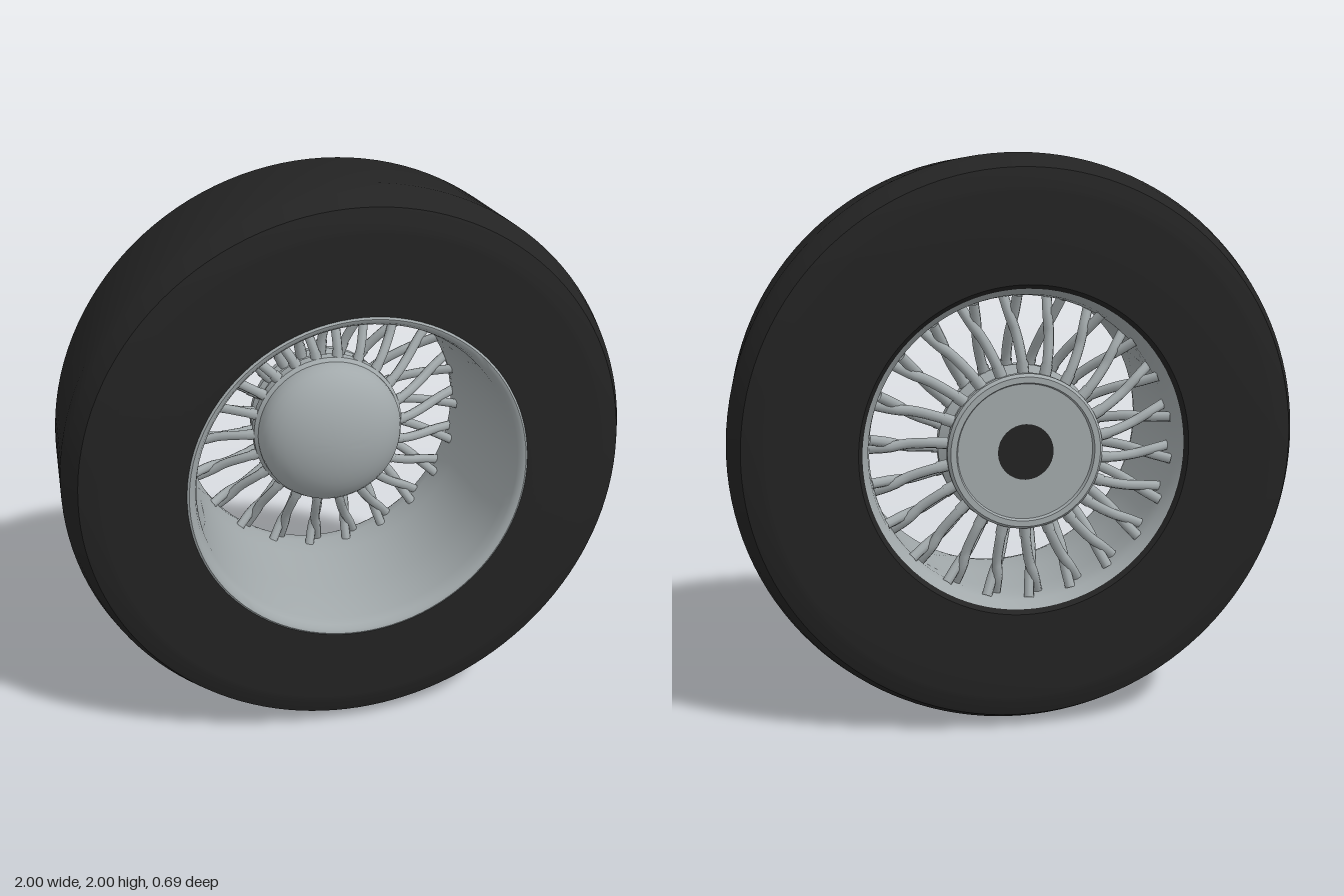
import * as THREE from 'three';
import { mergeGeometries, toCreasedNormals } from 'three/addons/utils/BufferGeometryUtils.js';

const rubber = new THREE.MeshStandardMaterial({ color: 0x232323 });
rubber.name = 'black rubber';
const metal = new THREE.MeshStandardMaterial({ color: 0xa2a9ab, side: THREE.DoubleSide });
metal.name = 'grey metal';

// Spin a [radius, z] profile round the axle (z axis)
function spin(profile, segments = 96, crease = 0.5) {
  const points = profile.map(([r, z]) => new THREE.Vector2(r, z));
  return toCreasedNormals(new THREE.LatheGeometry(points, segments).rotateX(Math.PI / 2), crease);
}

function polar(r, degrees, z) {
  const a = THREE.MathUtils.degToRad(degrees);
  return new THREE.Vector3(r * Math.sin(a), r * Math.cos(a), z);
}

export function createModel() {
  const wheel = new THREE.Group();
  wheel.name = 'wheel';
  wheel.position.y = 1;
  const add = (name, geometry, material) => {
    const mesh = new THREE.Mesh(geometry, material);
    mesh.name = name;
    wheel.add(mesh);
    return mesh;
  };

  // Tyre: closed cross-section with rounded shoulders
  add('tyre', spin([
    [0.555, -0.32], [0.57, -0.34], [0.87, -0.34], [0.89, -0.338], [0.95, -0.317], [0.985, -0.25], [1, -0.2],
    [1, 0.2], [0.985, 0.25], [0.95, 0.317], [0.89, 0.338], [0.87, 0.34], [0.59, 0.34],
    [0.585, 0.3], [0.565, 0.1], [0.545, -0.2], [0.555, -0.32],
  ], 128, 0.75), rubber);

  // Rim: rolled front lip and deep tapering barrel
  add('rim', spin([
    [0.59, 0.335], [0.6, 0.341], [0.593, 0.346], [0.58, 0.342], [0.57, 0.325], [0.562, 0.29],
    [0.552, 0.1], [0.535, -0.14], [0.528, -0.24], [0.535, -0.29], [0.556, -0.325],
  ], 96, 0.9), metal);

  // Hub barrel, with a raised ring round its back plate
  add('hub', spin([
    [0.09, -0.27], [0.095, -0.305], [0.235, -0.305], [0.24, -0.318], [0.26, -0.318], [0.27, -0.305],
    [0.27, -0.28], [0.255, -0.26], [0.255, -0.2], [0.285, -0.18], [0.285, -0.14], [0.27, -0.125],
  ], 64), metal);
  add('axleHole', spin([[0, -0.296], [0.096, -0.296]], 32), rubber).material = rubber;

  // Domed front cap
  const cap = [[0.272, -0.14], [0.272, -0.115]];
  for (let i = 1; i <= 10; i++) {
    const t = (i / 10) * Math.PI / 2;
    cap.push([0.272 * Math.cos(t), -0.115 + 0.15 * Math.sin(t)]);
  }
  add('hubCap', spin(cap, 64, 0.8), metal);

  // Spokes: pairs of bent rods pinched together half way out
  const rods = [];
  const count = 22;
  for (let i = 0; i < count; i++) {
    const angle = 4.5 + (i * 360) / count;
    for (const side of [-1, 1]) {
      const path = new THREE.CatmullRomCurve3([
        polar(0.25, angle + side * 4.2, side > 0 ? -0.15 : -0.275),
        polar(0.32, angle + side * 3, side > 0 ? -0.17 : -0.27),
        polar(0.41, angle + side * 0.9, side > 0 ? -0.215 : -0.25),
        polar(0.46, angle - side * 0.9, side > 0 ? -0.235 : -0.245),
        polar(0.535, angle - side * 2.2, side > 0 ? -0.265 : -0.215),
      ]);
      rods.push(new THREE.TubeGeometry(path, 10, 0.018, 8, false));
    }
  }
  add('spokes', mergeGeometries(rods), metal);

  // Sockets where the rods meet the hub
  const sockets = [];
  for (let i = 0; i < count; i++) {
    const angle = 4.5 + (i * 360) / count;
    for (const side of [-1, 1]) {
      const path = new THREE.LineCurve3(
        polar(0.25, angle + side * 4.1, side > 0 ? -0.15 : -0.275),
        polar(0.305, angle + side * 3.3, side > 0 ? -0.165 : -0.271));
      sockets.push(new THREE.TubeGeometry(path, 1, 0.021, 8, false));
    }
  }
  add('spokeSockets', mergeGeometries(sockets), metal);

  // Thin dark plate facing backwards inside the axle hole
  wheel.getObjectByName('axleHole').geometry = new THREE.CircleGeometry(0.097, 32)
    .rotateY(Math.PI).translate(0, 0, -0.3065);

  const model = new THREE.Group();
  model.name = 'spokedWheel';
  model.add(wheel);
  return model;
}
